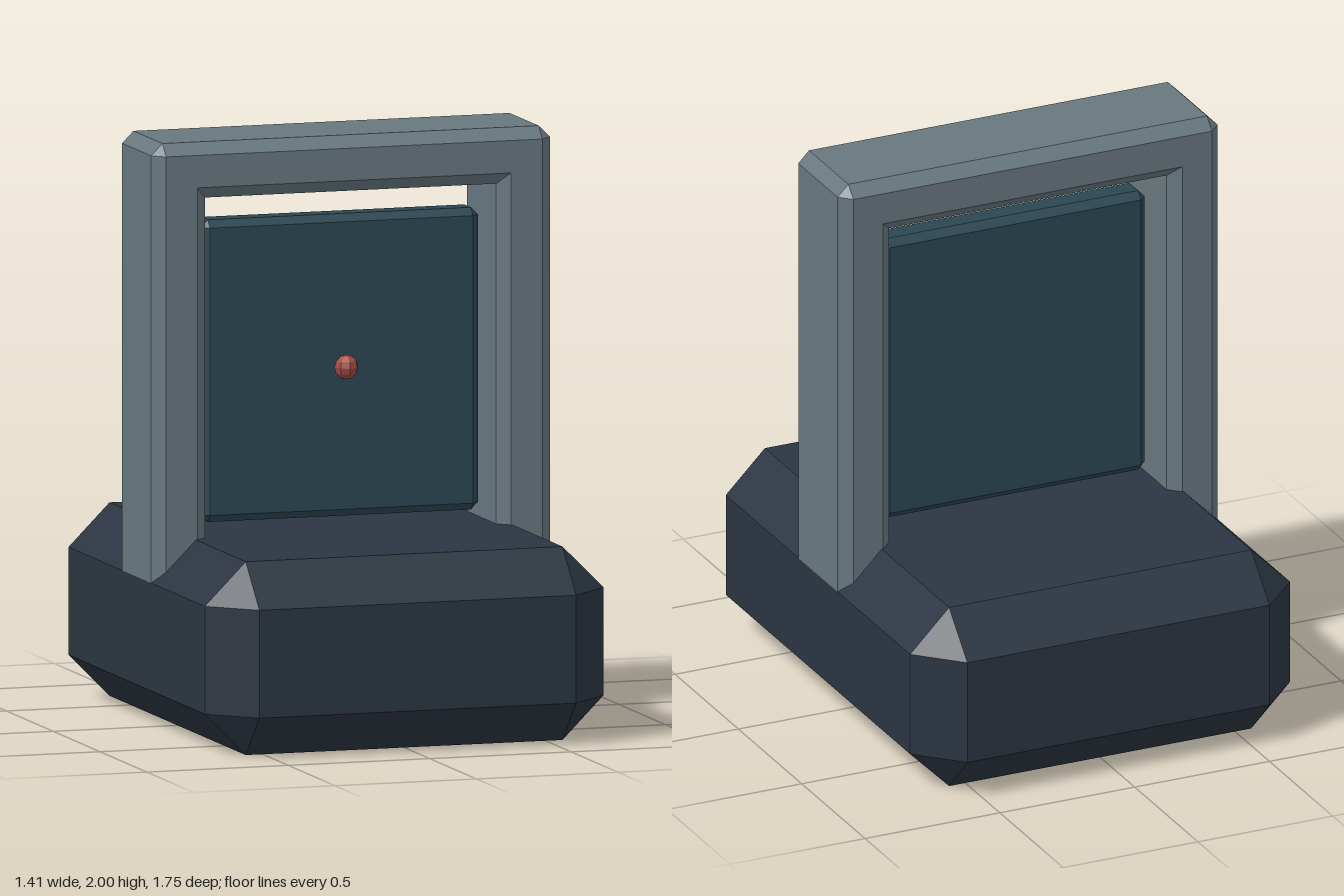
import * as THREE from 'three';
import { ConvexGeometry } from 'three/addons/geometries/ConvexGeometry.js';

const material = (color) => new THREE.MeshStandardMaterial({ color, flatShading: true });

// Box with every edge and corner cut at 45 degrees
function chamferedBox(w, h, d, c) {
  const points = [];
  const [x, y, z] = [w / 2, h / 2, d / 2];
  for (const sx of [-1, 1]) for (const sy of [-1, 1]) for (const sz of [-1, 1]) {
    points.push(
      new THREE.Vector3(sx * x, sy * (y - c), sz * (z - c)),
      new THREE.Vector3(sx * (x - c), sy * y, sz * (z - c)),
      new THREE.Vector3(sx * (x - c), sy * (y - c), sz * z));
  }
  return new ConvexGeometry(points);
}

// Chamfered bar swept up one post, across the top and down the other
function archGeometry() {
  const outer = 0.705, inner = 0.515, depth = 0.195, c = 0.04;
  const rise = 2 - outer, foot = 0.51;
  const section = [
    [outer, c - depth], [outer, depth - c], [outer - c, depth], [inner + c, depth],
    [inner, depth - c], [inner, c - depth], [inner + c, -depth], [outer - c, -depth],
  ];
  // The two corner stations differ only at the outer skin, cutting the corner
  const base = section.map(([x, z]) => [x, foot, z]);
  const cornerLow = section.map(([x, z]) => [x, x === outer ? 2 - c : x + rise, z]);
  const cornerHigh = section.map(([x, z]) => [x === outer ? outer - c : x, x + rise, z]);
  const mirror = (ring) => ring.map(([x, y, z]) => [-x, y, z]);
  const rings = [base, cornerLow, cornerHigh, mirror(cornerHigh), mirror(cornerLow), mirror(base)];

  const n = section.length, index = [];
  for (let s = 0; s < rings.length - 1; s++) {
    for (let i = 0; i < n; i++) {
      const j = (i + 1) % n;
      const a = s * n + i, b = s * n + j, e = (s + 1) * n + j, f = (s + 1) * n + i;
      index.push(a, f, e, a, e, b);
    }
  }
  const geometry = new THREE.BufferGeometry();
  geometry.setAttribute('position', new THREE.Float32BufferAttribute(rings.flat(2), 3));
  geometry.setIndex(index);
  const flat = geometry.toNonIndexed();
  flat.computeVertexNormals();
  return flat;
}

export function createModel() {
  const model = new THREE.Group();
  const add = (name, geometry, color, y, z = 0) => {
    const mesh = new THREE.Mesh(geometry, material(color));
    mesh.name = name;
    mesh.position.set(0, y, z);
    model.add(mesh);
  };

  // Heavy plinth
  add('base', chamferedBox(1.41, 0.656, 1.745, 0.145), 0x2b3541, 0.328);
  // Arch standing on the plinth
  add('frame', archGeometry(), 0x68777f, 0);
  // Slab hanging free inside the arch
  add('panel', chamferedBox(0.98, 1.025, 0.12, 0.025), 0x2b4753, 1.203);
  // Small round knob on the front of the slab
  add('knob', new THREE.SphereGeometry(0.042, 8, 6), 0xa04a42, 1.205, 0.11);

  return model;
}
